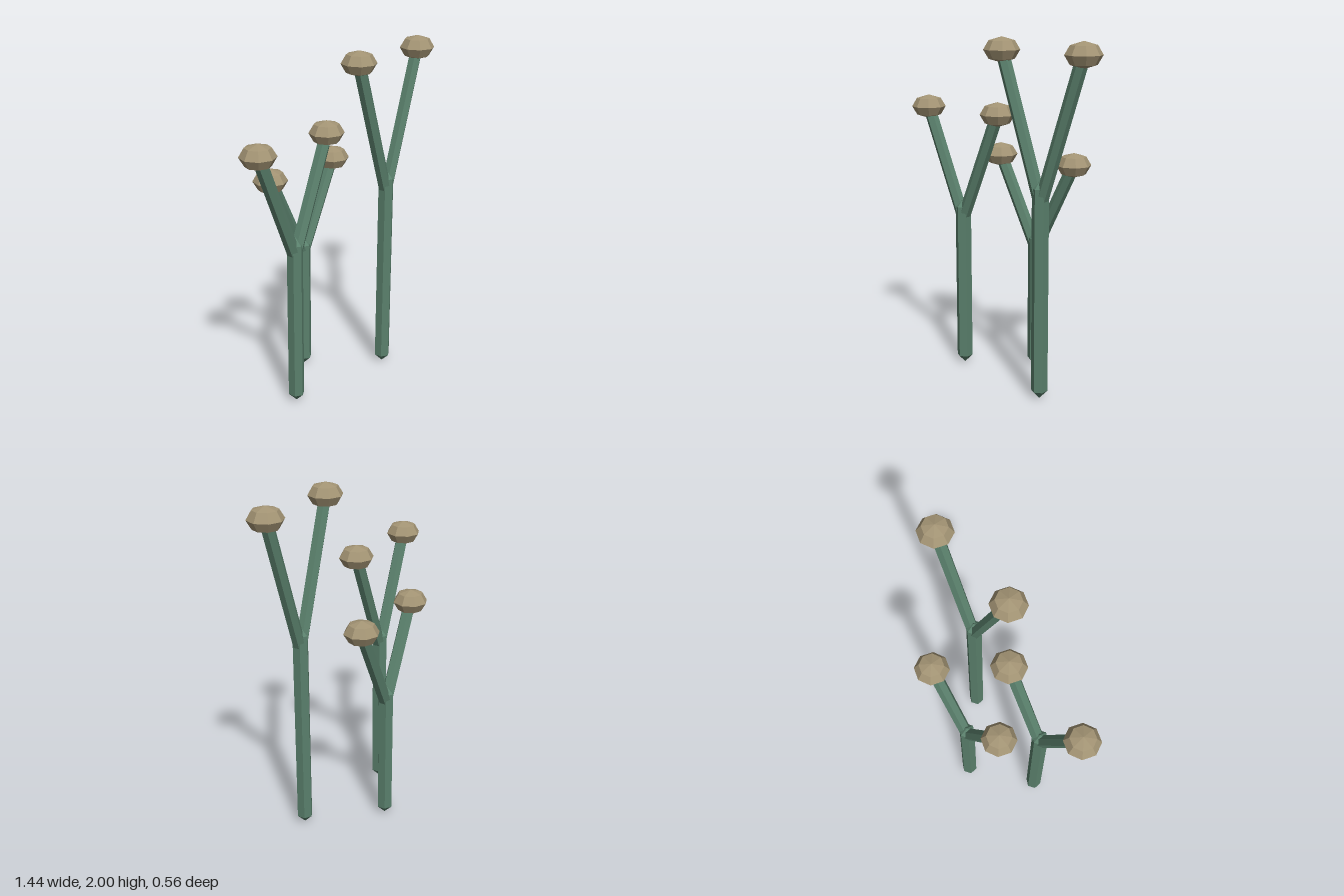
import * as THREE from 'three';

const green = new THREE.MeshStandardMaterial({ color: 0x5a806c, flatShading: true });
const tan = new THREE.MeshStandardMaterial({ color: 0xa39474, flatShading: true });

// Six-sided rod with pointed ends, standing on its lower tip
function rod(name, radius, length) {
  const profile = [[0, 0], [radius, radius], [radius, length - radius], [0, length]]
    .map(([x, y]) => new THREE.Vector2(x, y));
  const mesh = new THREE.Mesh(new THREE.LatheGeometry(profile, 6), green);
  mesh.name = name;
  return mesh;
}

// Stem forking into two branches, each with a flattened round head
function stalk(name, height, forkY, headY) {
  const group = new THREE.Group();
  group.name = name;
  group.add(rod('stem', 0.047, height));

  for (const side of [-1, 1]) {
    const suffix = side > 0 ? 'Left' : 'Right';
    const dx = 0.276, dy = headY - forkY;
    const tip = 0.037;
    const branch = rod('branch' + suffix, tip, Math.hypot(dx, dy) + tip);
    branch.geometry.translate(0, -tip, 0);
    branch.position.y = forkY;
    branch.rotation.z = -side * Math.atan2(dx, dy);
    group.add(branch);

    const head = new THREE.Mesh(new THREE.SphereGeometry(0.1, 8, 4), tan);
    head.name = 'head' + suffix;
    head.scale.y = 0.7;
    head.position.set(side * dx, headY, 0);
    group.add(head);
  }
  return group;
}

export function createModel() {
  const model = new THREE.Group();
  model.name = 'forkedStalks';
  // name, x, z, stem height, fork height, head height
  const stalks = [
    ['middleStalk', -0.346, 0.065, 1.03, 0.91, 1.555],
    ['shortStalk', 0.011, -0.18, 0.85, 0.74, 1.275],
    ['tallStalk', 0.342, 0.178, 1.255, 1.12, 1.93],
  ];
  for (const [name, x, z, height, forkY, headY] of stalks) {
    const s = stalk(name, height, forkY, headY);
    s.position.set(x, 0, z);
    model.add(s);
  }
  return model;
}
